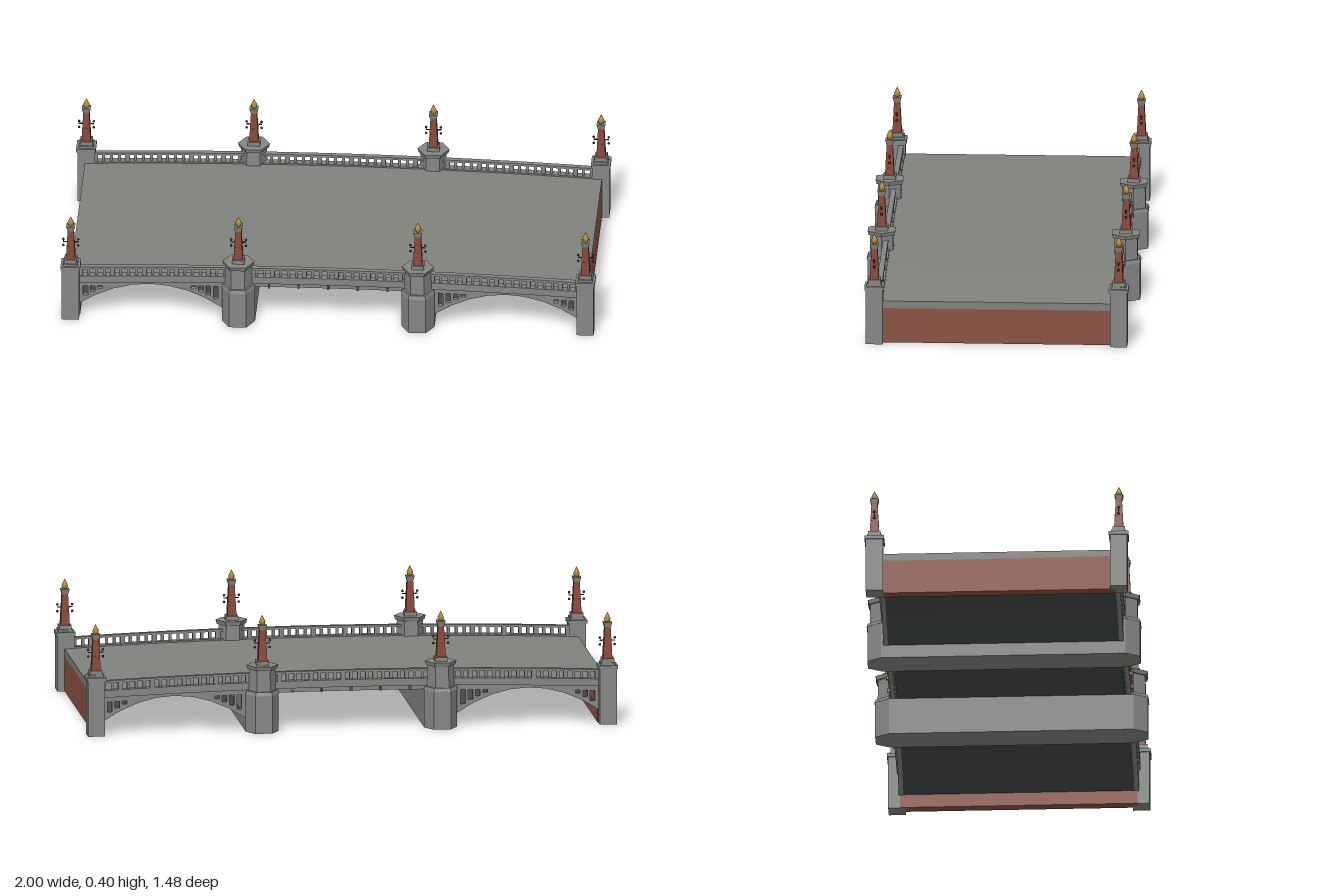
import * as THREE from 'three';

const mat = (name, color, side = THREE.FrontSide) => {
  const m = new THREE.MeshStandardMaterial({ color, side });
  m.name = name;
  return m;
};

export function createModel() {
  const stone = mat('stone', 0x848784);
  const paving = mat('paving', 0x7f827d);
  const soffit = mat('dark soffit', 0x454a49);
  const brick = mat('brick', 0x8c5244);
  const granite = mat('red granite', 0x8a4838);
  const iron = mat('iron', 0x2b2d2d);
  const gold = mat('gold', 0xb98a2c);

  const root = new THREE.Group();
  root.name = 'bridge';
  const bridge = new THREE.Group();
  bridge.name = 'bridgeBody';
  bridge.rotation.y = 0.37;
  root.add(bridge);

  const add = (parent, name, geo, material, x = 0, y = 0, z = 0) => {
    const m = new THREE.Mesh(geo, material);
    m.name = name;
    m.position.set(x, y, z);
    parent.add(m);
    return m;
  };
  const box = (parent, name, material, w, h, d, x, y, z) =>
    add(parent, name, new THREE.BoxGeometry(w, h, d), material, x, y, z);
  const prism = (sides, rTop, rBottom, h, turn = 0) => {
    const g = new THREE.CylinderGeometry(rTop, rBottom, h, sides).toNonIndexed();
    g.rotateY(turn);
    g.computeVertexNormals();
    return g;
  };

  const END = 0.873, PIER = 0.303, SIDE = 0.412;
  const deckY = x => 0.145 + 0.02 * (1 - (x / END) ** 2);
  const archMid = 0.6, archHalf = 0.245;
  const archY = x => 0.043 + 0.084 * (1 - ((Math.abs(x) - archMid) / archHalf) ** 2);

  // Outline between two height rules along the bridge
  const bandShape = (x0, x1, low, high, n) => {
    const pts = [];
    for (let i = 0; i <= n; i++) {
      const x = x0 + (x1 - x0) * i / n;
      pts.push(new THREE.Vector2(x, low(x)));
    }
    for (let i = n; i >= 0; i--) {
      const x = x0 + (x1 - x0) * i / n;
      pts.push(new THREE.Vector2(x, high(x)));
    }
    return new THREE.Shape(pts);
  };
  const extrude = (shape, z0, z1) => {
    const g = new THREE.ExtrudeGeometry(shape, { depth: z1 - z0, bevelEnabled: false });
    g.translate(0, 0, z0);
    return g;
  };
  const band = (name, material, x0, x1, low, high, z0, z1, n = 16) =>
    add(bridge, name, extrude(bandShape(x0, x1, low, high, n), z0, z1), material);

  // Arched roadway and its dark underside over the middle span
  band('roadway', paving, -END, END, x => deckY(x) - 0.025, deckY, -0.39, 0.39);
  band('middleSoffit', soffit, -PIER, PIER, x => deckY(x) - 0.034, x => deckY(x) - 0.025, -0.385, 0.385);

  // End walls and the vaults of the two side spans
  for (const s of [-1, 1]) {
    box(bridge, 'abutmentWall', brick, 0.035, 0.122, 0.8, s * (END - 0.0175), 0.061, 0);
    const a = s * archMid - archHalf, b = s * archMid + archHalf;
    band('vault', soffit, a, b, archY, x => archY(x) + 0.006, -0.39, 0.39, 8);

    // Spandrel walls with upright slots near the supports
    for (const t of [-1, 1]) {
      const wall = bandShape(a, b, archY, x => deckY(x) - 0.015, 8);
      for (const e of [-1, 1]) for (let k = 0; k < 4; k++) {
        const x = s * archMid + e * (archHalf - 0.025 - k * 0.025);
        const low = archY(x - e * 0.008) + 0.012, high = deckY(x) - 0.036;
        if (high - low < 0.005) continue;
        const hole = new THREE.Path();
        hole.moveTo(x - 0.008, low);
        hole.lineTo(x - 0.008, high);
        hole.lineTo(x + 0.008, high);
        hole.lineTo(x + 0.008, low);
        hole.closePath();
        wall.holes.push(hole);
      }
      const z = t * 0.397;
      add(bridge, 'spandrelWall', extrude(wall, z - 0.008, z + 0.008), stone);
    }

    // Pier with pointed hexagonal ends running under the whole deck
    const outline = [[0.056, -SIDE], [0.056, SIDE], [0.029, 0.46], [-0.029, 0.46],
      [-0.056, SIDE], [-0.056, -SIDE], [-0.029, -0.46], [0.029, -0.46]];
    const pier = new THREE.ExtrudeGeometry(
      new THREE.Shape(outline.map(p => new THREE.Vector2(...p))), { depth: 0.13, bevelEnabled: false });
    pier.rotateX(-Math.PI / 2);
    add(bridge, 'pier', pier, stone, s * PIER);
  }

  // Obelisk with base, lamp arms and gilded finial
  const obelisk = (x, y, z) => {
    const g = new THREE.Group();
    g.name = 'obelisk';
    g.position.set(x, y, z);
    bridge.add(g);
    box(g, 'obeliskBase', stone, 0.042, 0.014, 0.042, 0, 0.007, 0);
    add(g, 'obeliskShaft', prism(4, 0.0145, 0.022, 0.105, Math.PI / 4), granite, 0, 0.0665, 0);
    box(g, 'shaftCollar', granite, 0.027, 0.006, 0.027, 0, 0.06, 0);
    add(g, 'capital', prism(4, 0.021, 0.015, 0.018, Math.PI / 4), stone, 0, 0.128, 0);
    const finial = [[0, 0], [0.008, 0], [0.011, 0.011], [0.006, 0.022], [0, 0.034]];
    add(g, 'finial', new THREE.LatheGeometry(finial.map(p => new THREE.Vector2(...p)), 8), gold, 0, 0.137, 0);
    for (const s of [-1, 1]) {
      box(g, 'lampArm', iron, 0.016, 0.003, 0.003, s * 0.018, 0.074, 0);
      for (const h of [0.06, 0.083])
        add(g, 'lamp', new THREE.SphereGeometry(0.0045, 6, 5), iron, s * 0.025, h, 0);
    }
  };

  for (const t of [-1, 1]) {
    for (const s of [-1, 1]) {
      // Corner post
      box(bridge, 'cornerPost', stone, 0.058, 0.19, 0.058, s * 0.869, 0.095, t * SIDE);
      box(bridge, 'cornerCap', stone, 0.066, 0.012, 0.066, s * 0.869, 0.196, t * SIDE);
      box(bridge, 'cornerPlinth', stone, 0.05, 0.008, 0.05, s * 0.869, 0.206, t * SIDE);
      obelisk(s * 0.869, 0.21, t * SIDE);

      // Pier pedestal
      const px = s * PIER;
      add(bridge, 'pierLedge', prism(6, 0.053, 0.058, 0.012, Math.PI / 6), stone, px, 0.135, t * SIDE);
      add(bridge, 'pierPedestal', prism(6, 0.044, 0.046, 0.075, Math.PI / 6), stone, px, 0.177, t * SIDE);
      add(bridge, 'pierCap', prism(6, 0.054, 0.05, 0.014, Math.PI / 6), stone, px, 0.221, t * SIDE);
      obelisk(px, 0.228, t * SIDE);
    }

    // Edge beam and railing bands
    const zIn = t > 0 ? 0.385 : -0.411, zOut = t > 0 ? 0.411 : -0.385;
    band('edgeBeam', stone, -0.86, 0.86, x => deckY(x) - 0.02, x => deckY(x) + 0.005, zIn, zOut);
    band('middleGirder', stone, -PIER, PIER, x => deckY(x) - 0.034, x => deckY(x) - 0.018, zIn + 0.005, zOut - 0.005);
    band('handrail', stone, -0.86, 0.86, x => deckY(x) + 0.029, x => deckY(x) + 0.037, zIn + 0.004, zOut - 0.004);

    // Balusters between the posts
    for (let i = 0; i < 63; i++) {
      const x = -0.837 + i * 0.027;
      if (Math.abs(Math.abs(x) - PIER) < 0.045) continue;
      const wide = i % 4 === 0;
      box(bridge, 'baluster', stone, wide ? 0.016 : 0.01, 0.028, wide ? 0.018 : 0.01,
        x, deckY(x) + 0.017, t * 0.398);
    }

    // Small brick fins beneath the edge of the middle span
    for (let i = 0; i < 5; i++) {
      const x = -0.2 + i * 0.1;
      box(bridge, 'girderFin', brick, 0.007, 0.014, 0.016, x, deckY(x) - 0.027, t * 0.408);
    }
  }
  return root;
}
